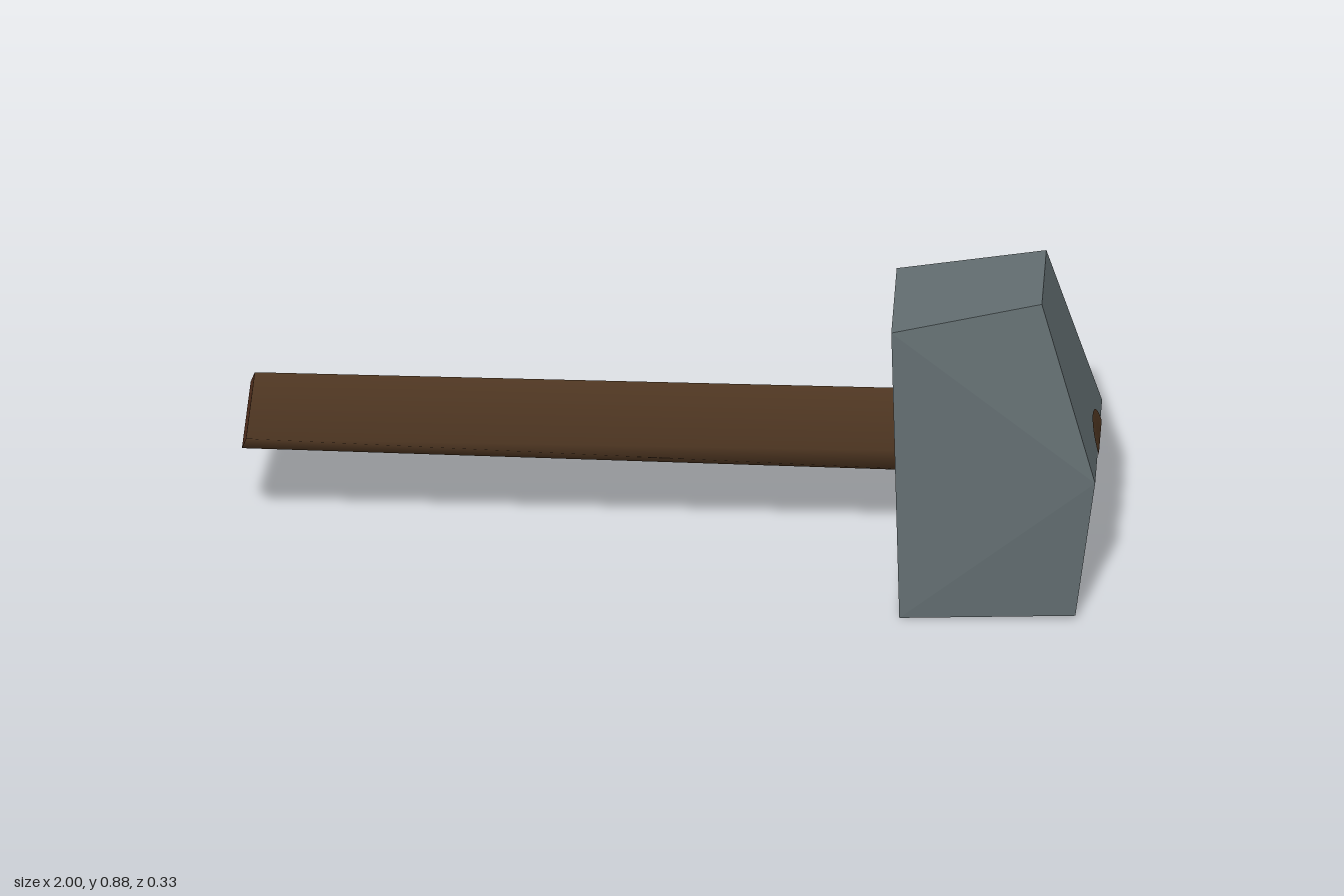
import * as THREE from 'three';

// Moves every vertex of a geometry by a rule
function warp(geometry, rule) {
  const p = geometry.attributes.position;
  const v = new THREE.Vector3();
  for (let i = 0; i < p.count; i++) {
    rule(v.fromBufferAttribute(p, i));
    p.setXYZ(i, v.x, v.y, v.z);
  }
  return geometry;
}

// Head: five-sided profile (x, y, half depth), counter-clockwise from the front
const profile = [
  [0.52, 0.8, 0.128],
  [0.54, 0, 0.157],
  [0.95, 0.015, 0.149],
  [0.997, 0.41, 0.165],
  [0.87, 0.88, 0.107],
];

function headGeometry() {
  const corners = [];
  const add = (...list) => list.forEach(([i, side]) => {
    const [x, y, d] = profile[i];
    corners.push(x, y, d * side);
  });
  for (const [a, b, c] of [[0, 1, 3], [1, 2, 3], [3, 4, 0]]) {
    add([a, 1], [b, 1], [c, 1]);
    add([c, -1], [b, -1], [a, -1]);
  }
  for (let i = 0; i < 5; i++) {
    const j = (i + 1) % 5;
    add([i, 1], [i, -1], [j, -1]);
    add([i, 1], [j, -1], [j, 1]);
  }
  const g = new THREE.BufferGeometry();
  g.setAttribute('position', new THREE.Float32BufferAttribute(corners, 3));
  g.computeVertexNormals();
  return g;
}

// Handle: diamond section, wider at the butt, with a slanted butt end
function shapeHandle(v) {
  const t = v.x + 0.5;
  v.y = 0.43 - 0.003 * t + v.y * (0.11 + 0.009 * t);
  v.z = -0.005 * t + v.z * (0.113 - 0.03 * t);
  v.x = t > 0.5 ? 0.7 : -1 + 0.136 * (v.y - 0.32);
}

// Handle tip: oval plate folded over the ridge of the striking side
function shapeTip(v) {
  const ridge = 0.41;
  v.y = ridge + v.y * (v.y > 0 ? 0.065 : 0.1);
  v.z = -0.017 + v.z * 0.068;
  const slope = v.y > ridge ? 0.127 / 0.47 : 0.047 / 0.395;
  v.x = 1 - Math.abs(v.y - ridge) * slope;
}

export function createModel() {
  const steel = new THREE.MeshStandardMaterial({ color: 0x626d70 });
  const wood = new THREE.MeshStandardMaterial({ color: 0x513823 });
  const endGrain = new THREE.MeshStandardMaterial({ color: 0x5f3722 });
  steel.name = 'steel';
  wood.name = 'wood';
  endGrain.name = 'endGrain';

  const group = new THREE.Group();
  group.name = 'hammer';
  const add = (name, geometry, material) => {
    const mesh = new THREE.Mesh(geometry, material);
    mesh.name = name;
    group.add(mesh);
  };

  add('head', headGeometry(), steel);

  // Smooth-shaded four-sided shaft running into the head
  const shaft = new THREE.CylinderGeometry(1, 1, 1, 4, 1, true).rotateZ(-Math.PI / 2);
  add('handle', warp(shaft, shapeHandle), wood);

  const butt = new THREE.CircleGeometry(1, 4).rotateY(-Math.PI / 2).translate(-0.5, 0, 0);
  warp(butt, shapeHandle).computeVertexNormals();
  add('handleButt', butt, endGrain);

  const tip = warp(new THREE.CircleGeometry(1, 24).rotateY(Math.PI / 2), shapeTip);
  tip.computeVertexNormals();
  add('handleTip', tip, wood);

  return group;
}
